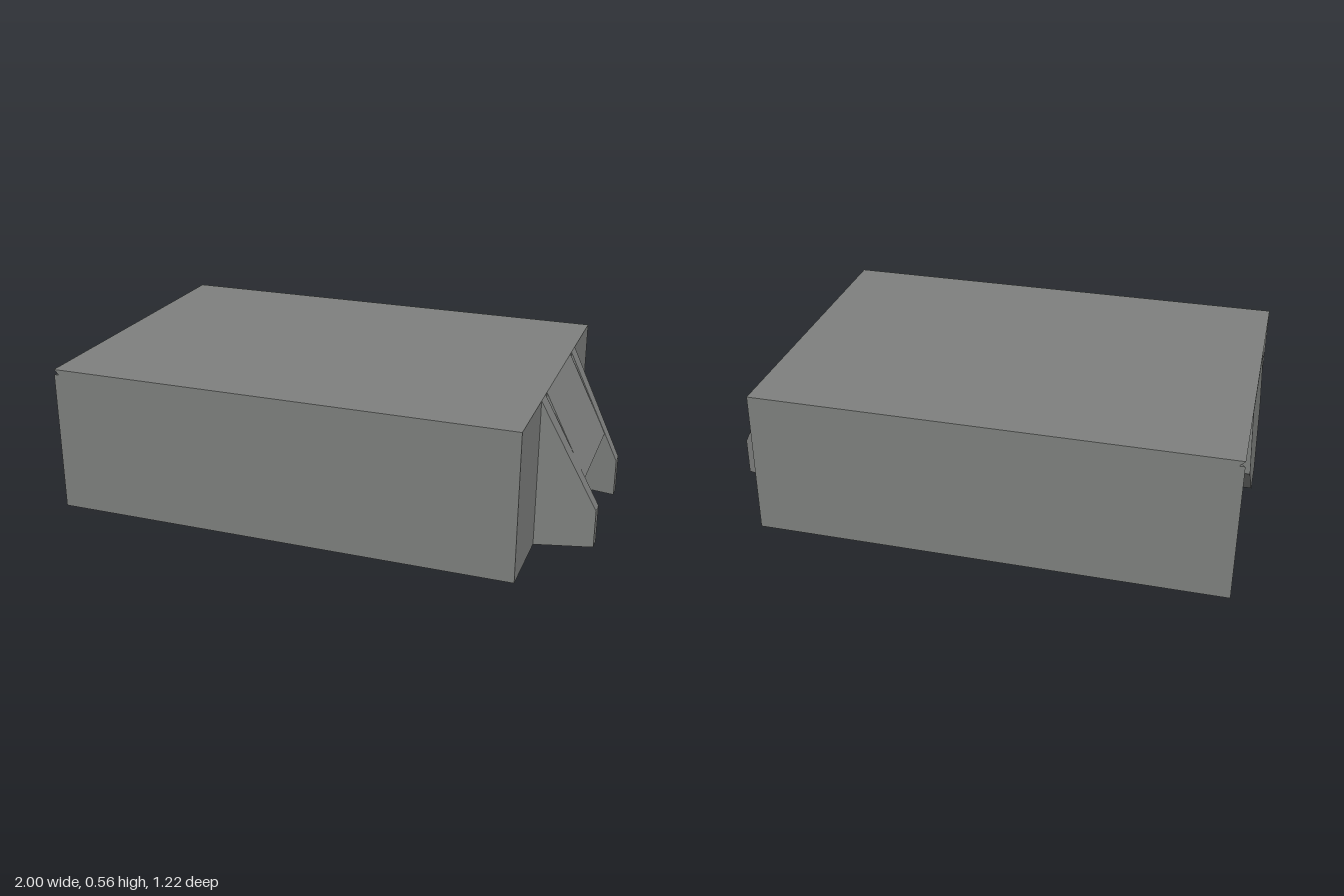
import * as THREE from 'three';
import { ConvexGeometry } from 'three/addons/geometries/ConvexGeometry.js';

const grey = new THREE.MeshStandardMaterial({ color: 0x7e807e });
grey.name = 'grey';

// Solid from a closed outline, extruded along +z
function extrude(points, depth) {
  const shape = new THREE.Shape(points.map(([a, b]) => new THREE.Vector2(a, b)));
  return new THREE.ExtrudeGeometry(shape, { depth, bevelEnabled: false });
}

// Convex solid from its corners
function solid(points) {
  return new ConvexGeometry(points.map(p => new THREE.Vector3(...p)));
}

export function createModel() {
  const model = new THREE.Group();
  model.name = 'cover';
  const add = (name, geometry) => {
    const mesh = new THREE.Mesh(geometry, grey);
    mesh.name = name;
    model.add(mesh);
  };

  // Roof, chamfered beneath its open end
  add('roof', extrude([[-0.98, 0.56], [-0.94, 0.52], [0.79, 0.52], [0.79, 0.56]], 1.22)
    .translate(0, 0, -0.61));

  for (const s of [1, -1]) {
    const side = s > 0 ? 'Left' : 'Right';

    // Side wall turning the corner into the end wall
    add('wall' + side, extrude([
      [-0.98, 0.61], [0.79, 0.61], [0.79, 0.28], [0.75, 0.28], [0.75, 0.57], [-0.94, 0.57],
    ].map(([x, z]) => [x, -s * z]), 0.54).rotateX(-Math.PI / 2));

    // Tapered fin beside the end opening
    add('fin' + side, solid([
      [0.75, 0, 0.31], [0.79, 0, 0.31], [1, 0, 0.258], [1, 0.145, 0.258],
      [0.79, 0.56, 0.258], [0.79, 0.56, 0.31], [0.75, 0.55, 0.31],
      [0.75, 0, 0.25], [1, 0, 0.207], [1, 0.145, 0.207], [0.79, 0.56, 0.243], [0.75, 0.55, 0.25],
    ].map(([x, y, z]) => [x, y, s * z])));
  }

  // Sloping plate between the fins
  add('slopingPlate', extrude([[0.79, 0.56], [0.75, 0.54], [0.905, 0.23], [0.945, 0.25]], 0.44)
    .translate(0, 0, -0.22));

  // Pointed latch flap at the open end, leaning slightly outward
  const flap = [];
  for (const [z, y] of [[0.26, 0.55], [0.26, 0.3], [0.075, 0.125]]) {
    const x = -0.98 - 0.02 * (0.56 - y) / 0.435;
    for (const s of [1, -1]) flap.push([x, y, s * z], [x + 0.05, y, s * z]);
  }
  add('latchFlap', solid(flap));

  return model;
}
